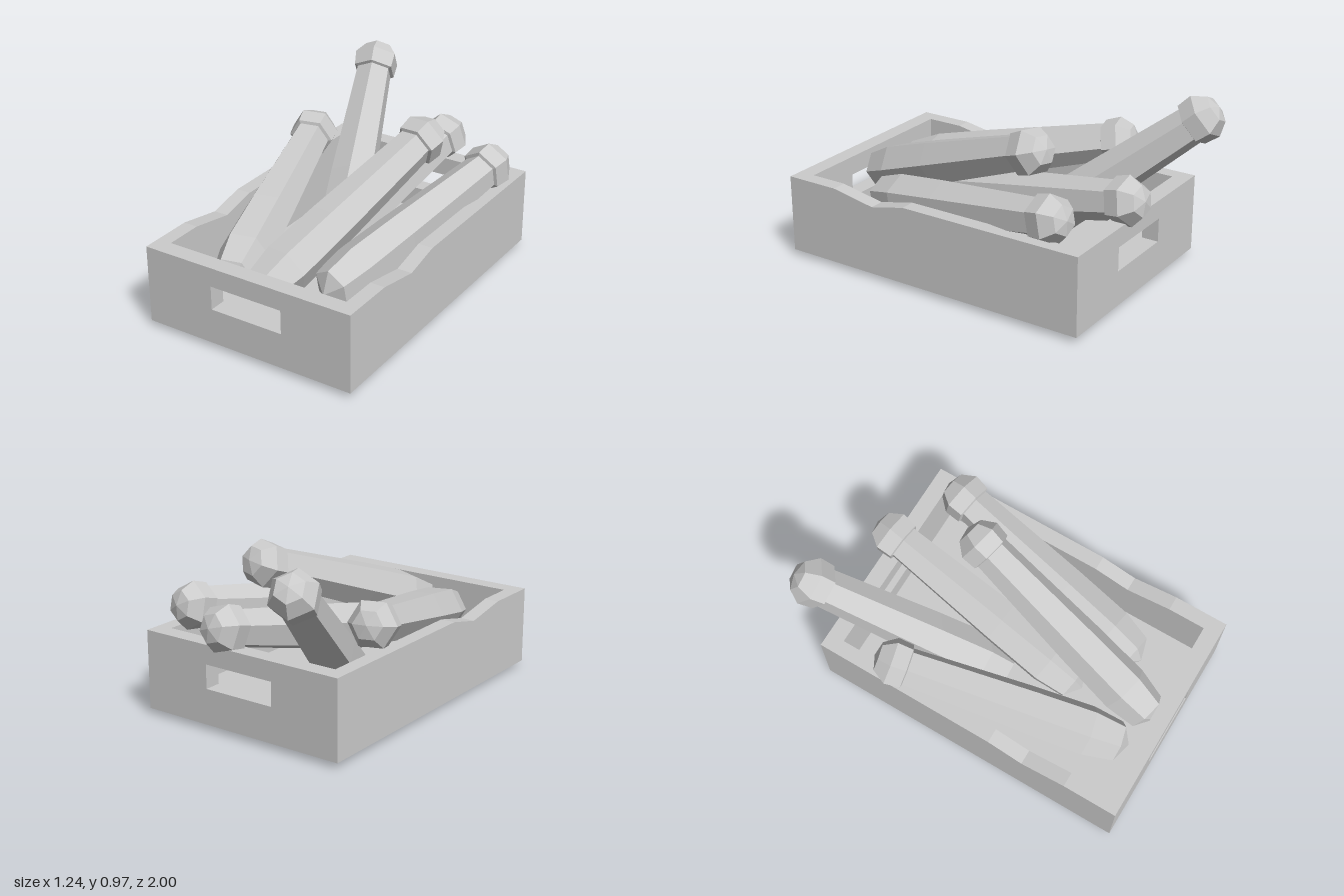
import * as THREE from 'three';

const material = new THREE.MeshStandardMaterial({ color: 0xcccccc, flatShading: true });

// Crate extents
const X0 = -0.58, X1 = 0.62, Z0 = -0.78, Z1 = 1.0, Y0 = 0.04, Y1 = 0.467;
const WALL_X = 0.08, WALL_Z = 0.093, FLOOR = 0.07;

function polygon(points) {
  return new THREE.Shape(points.map(([x, y]) => new THREE.Vector2(x, y)));
}

function addMesh(parent, geometry, name) {
  const mesh = new THREE.Mesh(geometry, material);
  mesh.name = name;
  parent.add(mesh);
  return mesh;
}

function createCrate() {
  const crate = new THREE.Group();
  crate.name = 'crate';

  // End walls with a rectangular hand hole
  const end = polygon([[X0, Y0], [X1, Y0], [X1, Y1], [X0, Y1]]);
  end.holes.push(polygon([[-0.185, 0.233], [-0.185, 0.363], [0.228, 0.363], [0.228, 0.233]]));
  const endGeometry = new THREE.ExtrudeGeometry(end, { depth: WALL_Z, bevelEnabled: false });
  addMesh(crate, endGeometry, 'frontWall').position.z = Z1 - WALL_Z;
  addMesh(crate, endGeometry, 'backWall').position.z = Z0;

  // Long walls with a worn dip in the rim, drawn in z and y
  const a = Z0 + WALL_Z, b = Z1 - WALL_Z;
  const side = polygon([[a, Y0], [b, Y0], [b, Y1], [0.7, Y1], [0.45, Y1 - 0.045], [0.25, Y1], [a, Y1]]);
  const sideGeometry = new THREE.ExtrudeGeometry(side, { depth: WALL_X, bevelEnabled: false });
  sideGeometry.rotateY(-Math.PI / 2);
  addMesh(crate, sideGeometry, 'leftWall').position.x = X1;
  addMesh(crate, sideGeometry, 'rightWall').position.x = X0 + WALL_X;

  // Floor
  const floor = new THREE.BoxGeometry(X1 - X0 - 2 * WALL_X, FLOOR, b - a);
  addMesh(crate, floor, 'floor').position.set((X0 + X1) / 2, Y0 + FLOOR / 2, (a + b) / 2);
  return crate;
}

// Six-sided lathe whose axis runs along +z, from [radius, distance] pairs
function hexLathe(profile) {
  const geometry = new THREE.LatheGeometry(profile.map(([r, d]) => new THREE.Vector2(r, d)), 6);
  return geometry.rotateX(Math.PI / 2);
}

export function createModel() {
  const model = new THREE.Group();
  model.name = 'crateOfBats';
  model.add(createCrate());

  const knob = hexLathe([[0, -0.1], [0.08, -0.08], [0.13, -0.01], [0.122, 0.075], [0.09, 0.085]]);
  const shaft = hexLathe([[0.102, 0.06], [0.13, 0.75], [0.137, 1.08], [0.11, 1.25], [0, 1.31]]);

  // Knob centre, far end of the barrel, roll about the axis
  const bats = [
    [[-0.415, 0.868, -0.89], [-0.075, 0.068, 0.07], 0],
    [[-0.495, 0.605, -0.37], [-0.18, 0.32, 0.86], 0.5],
    [[0.12, 0.57, -0.77], [-0.02, 0.29, 0.46], 0.2],
    [[0.25, 0.77, -0.29], [0.02, 0.335, 0.88], 0.63],
    [[0.505, 0.565, -0.565], [0.27, 0.31, 0.68], 0],
  ];
  bats.forEach(([start, end, roll], i) => {
    const bat = new THREE.Group();
    bat.name = `bat${i + 1}`;
    bat.position.set(...start);
    bat.lookAt(...end);
    bat.rotateZ(roll);
    addMesh(bat, knob, 'knob');
    addMesh(bat, shaft, 'shaft');
    model.add(bat);
  });
  return model;
}
